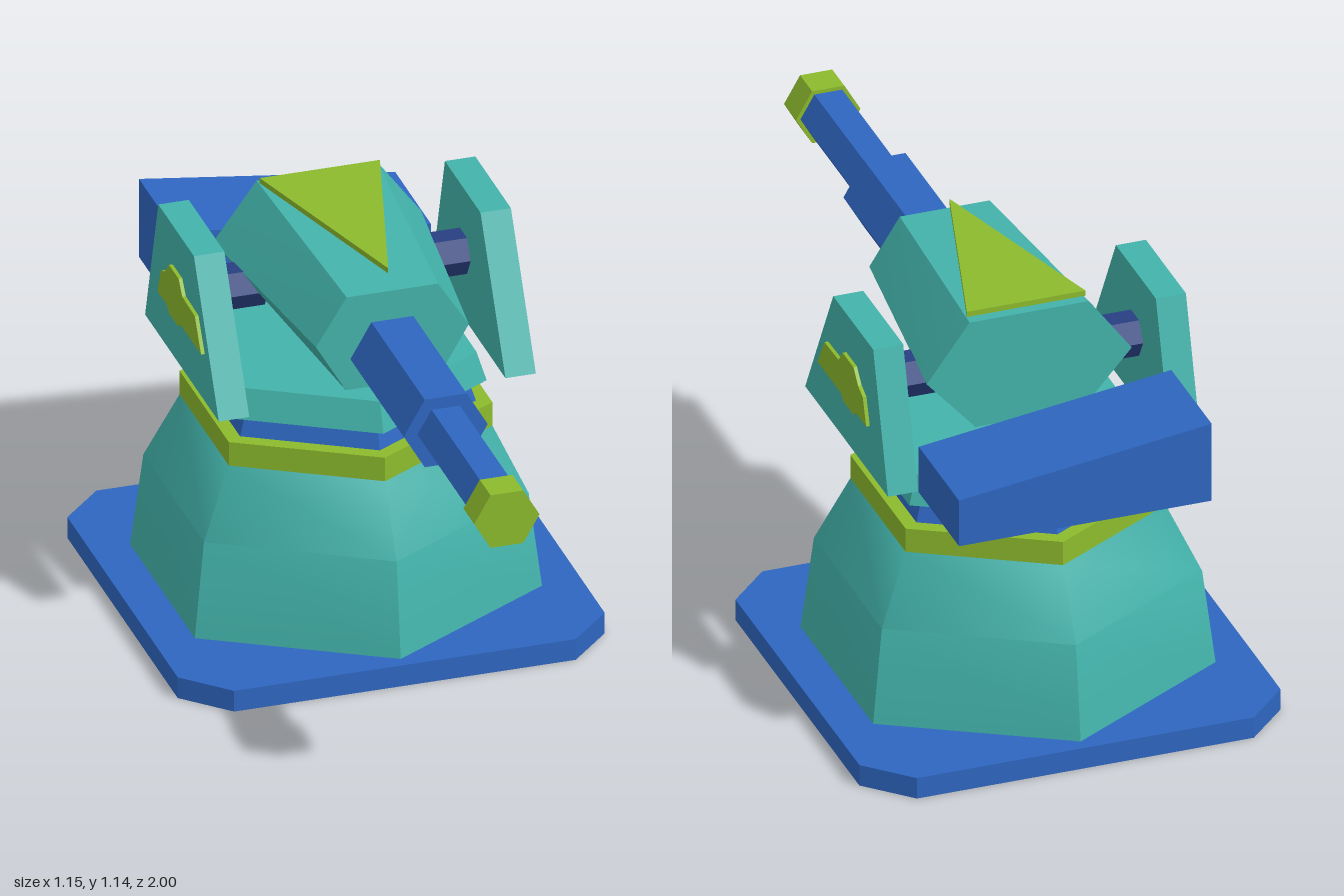
import * as THREE from 'three';
import { toCreasedNormals } from 'three/addons/utils/BufferGeometryUtils.js';
import { ConvexGeometry } from 'three/addons/geometries/ConvexGeometry.js';

const CZ = -0.425;      // z of the pedestal axis
const BARREL_Y = 0.913; // height of the barrel and axle axes

const mat = (name, color) => {
  const m = new THREE.MeshStandardMaterial({ color });
  m.name = name;
  return m;
};

export function createModel() {
  const teal = mat('teal', 0x43b3ab);
  const blue = mat('blue', 0x2e66c0);
  const lime = mat('lime', 0x8cba2d);
  const navy = mat('navy', 0x283f80);

  const model = new THREE.Group();
  model.name = 'turret';

  const add = (name, geometry, material, crease = 0.1) => {
    const mesh = new THREE.Mesh(toCreasedNormals(geometry, crease), material);
    mesh.name = name;
    model.add(mesh);
    return mesh;
  };
  const extrude = (points, depth) => new THREE.ExtrudeGeometry(
    new THREE.Shape(points.map(([x, y]) => new THREE.Vector2(x, y))),
    { depth, bevelEnabled: false });
  // Outline given as [z, y], thickened along +x from x0
  const sidePlate = (points, x0, depth) =>
    extrude(points.map(([z, y]) => [-z, y]), depth).rotateY(Math.PI / 2).translate(x0, 0, 0);
  // Outline given as [x, z], thickened upward from y0
  const flatPlate = (points, y0, depth) =>
    extrude(points.map(([x, z]) => [x, -z]), depth).rotateX(-Math.PI / 2).translate(0, y0, 0);
  const hull = (points) => new ConvexGeometry(points.map((p) => new THREE.Vector3(...p)));

  // Base plate with cut corners
  const w = 0.575, c = 0.46;
  add('basePlate', flatPlate(
    [[w, c], [c, w], [-c, w], [-w, c], [-w, -c], [-c, -w], [c, -w], [w, -c]]
      .map(([x, z]) => [x, z + CZ]), 0, 0.06), blue);

  // Six-sided pedestal, softened above the shoulder
  const profile = [[0.54, 0.06], [0.505, 0.325], [0.41, 0.51]].map((p) => new THREE.Vector2(...p));
  add('pedestal', new THREE.LatheGeometry(profile, 6).translate(0, 0, CZ), teal, 0.98);

  // Stacked six-sided collars: name, bottom radius, top radius, bottom y, top y
  for (const [name, r0, r1, y0, y1, m] of [
    ['pedestalRing', 0.41, 0.41, 0.51, 0.578, lime],
    ['swivelCollar', 0.367, 0.345, 0.578, 0.64, blue],
    ['turntable', 0.395, 0.368, 0.64, 0.72, teal],
  ]) {
    add(name, new THREE.CylinderGeometry(r1, r0, y1 - y0, 6).translate(0, (y0 + y1) / 2, CZ), m);
  }

  // Side arms with raised emblem plates and axles
  const armOutline = [[-0.08, 0.72], [-0.695, 0.72], [-0.585, 1.095], [-0.288, 1.095]];
  const plateOutline = [
    [-0.197, 0.857], [-0.37, 0.857], [-0.39, 0.842], [-0.465, 0.842], [-0.485, 0.857],
    [-0.56, 0.857], [-0.535, 0.93], [-0.5, 0.945], [-0.465, 0.982], [-0.385, 0.982],
    [-0.355, 0.945], [-0.25, 0.942],
  ];
  for (const [side, s] of [['left', 1], ['right', -1]]) {
    add(side + 'Arm', sidePlate(armOutline, s > 0 ? 0.345 : -0.427, 0.082), teal);
    add(side + 'ArmPlate', sidePlate(plateOutline, s > 0 ? 0.427 : -0.437, 0.01), lime);
    add(side + 'Axle', new THREE.CylinderGeometry(0.06, 0.06, 0.145, 6)
      .rotateZ(Math.PI / 2).translate(s * 0.2725, BARREL_Y, -0.43), navy);
  }

  // Gun head: squashed hexagon, wider at the back
  const ring = (z, mid, top, bottom, yTop, yBottom) => [1, -1].flatMap((s) => [
    [s * mid, 0.963, z], [s * top, yTop, z], [s * bottom, yBottom, z]]);
  add('gunHead', hull([
    ...ring(0.045, 0.206, 0.123, 0.125, 1.094, 0.825),
    ...ring(-0.583, 0.28, 0.163, 0.147, 1.122, 0.812)]), teal);
  add('headArrow', flatPlate([[0, 0.01], [0.162, -0.56], [-0.162, -0.56]], 1.126, 0.015), lime);

  // Stepped six-sided barrel: name, radius, back z, front z
  for (const [name, r, z0, z1, m] of [
    ['barrelSleeve', 0.113, 0, 0.49, blue],
    ['barrel', 0.076, 0.49, 0.91, blue],
    ['muzzle', 0.088, 0.91, 1, lime],
  ]) {
    add(name, new THREE.CylinderGeometry(r, r, z1 - z0, 6)
      .rotateY(Math.PI / 6).rotateX(Math.PI / 2).translate(0, BARREL_Y, (z0 + z1) / 2), m);
  }

  // Rear box, its top sloping down to the left
  add('rearBox', hull([-0.7, -1].flatMap((z) => [
    [-0.345, 0.72, z], [0.345, 0.72, z], [0.345, 0.854, z], [-0.345, 0.946, z]])), blue);

  return model;
}
